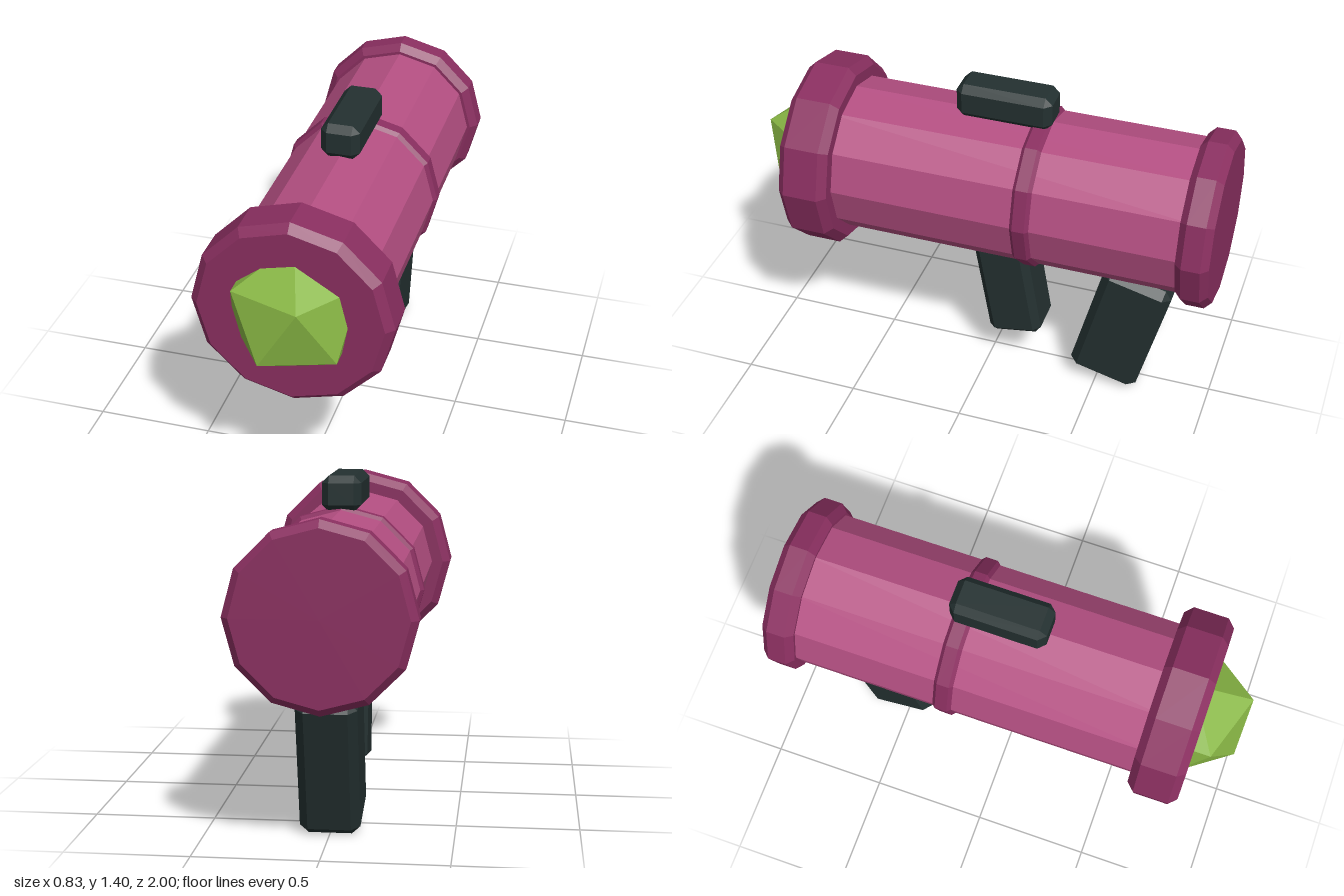
import * as THREE from 'three';
import { ConvexGeometry } from 'three/addons/geometries/ConvexGeometry.js';

const AXIS_Y = 0.932;

function material(name, color) {
  const m = new THREE.MeshStandardMaterial({ color });
  m.name = name;
  return m;
}

// Faceted copy: every face gets its own normal
function faceted(geometry) {
  const g = geometry.index ? geometry.toNonIndexed() : geometry;
  g.computeVertexNormals();
  return g;
}

// Closed twelve-sided drum along z with bevelled rims
function drum(radius, zBack, zFront, bevel) {
  const profile = [
    [0, zBack], [radius - bevel, zBack], [radius, zBack + bevel],
    [radius, zFront - bevel], [radius - bevel, zFront], [0, zFront],
  ].map(([r, z]) => new THREE.Vector2(r, z));
  return faceted(new THREE.LatheGeometry(profile, 12).rotateX(Math.PI / 2));
}

// Box with all edges and corners cut off
function chamferBox(width, height, depth, c) {
  const x = width / 2, y = height / 2, z = depth / 2;
  const points = [];
  for (const sx of [-1, 1]) for (const sy of [-1, 1]) for (const sz of [-1, 1]) {
    points.push(
      new THREE.Vector3(sx * x, sy * (y - c), sz * (z - c)),
      new THREE.Vector3(sx * (x - c), sy * y, sz * (z - c)),
      new THREE.Vector3(sx * (x - c), sy * (y - c), sz * z),
    );
  }
  return new ConvexGeometry(points);
}

export function createModel() {
  const group = new THREE.Group();
  group.name = 'launcher';
  const pink = material('pink', 0xb44f82);
  const plum = material('plum', 0x8a2f60);
  const charcoal = material('charcoal', 0x233030);
  const green = material('green', 0x88b644);

  const add = (name, geometry, mat, y, z = 0, tilt = 0) => {
    const mesh = new THREE.Mesh(geometry, mat);
    mesh.name = name;
    mesh.position.set(0, y, z);
    mesh.rotation.x = tilt;
    group.add(mesh);
  };

  // Barrel and its rings
  const barrel = new THREE.CylinderGeometry(0.33, 0.33, 1.65, 12).rotateX(Math.PI / 2);
  add('barrel', faceted(barrel), pink, AXIS_Y, -0.1);
  add('muzzleRing', drum(0.413, 0.62, 0.835, 0.033), plum, AXIS_Y);
  add('middleRing', drum(0.345, -0.25, -0.168, 0.015), plum, AXIS_Y);
  add('rearRing', drum(0.373, -1, -0.862, 0.03), plum, AXIS_Y);

  // Faceted shot, one corner pointing straight up
  const shot = new THREE.IcosahedronGeometry(0.29, 0);
  shot.rotateZ(-Math.atan(2 / (1 + Math.sqrt(5))));
  add('shot', faceted(shot), green, 0.935, 0.754);

  // Sight and the two slanted grips
  add('sight', chamferBox(0.165, 0.15, 0.41, 0.03), charcoal, 1.327, -0.055);
  add('frontGrip', chamferBox(0.215, 0.48, 0.24, 0.03), charcoal, 0.407, -0.085, 0.17);
  add('rearGrip', chamferBox(0.245, 0.59, 0.31, 0.035), charcoal, 0.317, -0.6, -0.25);

  return group;
}
